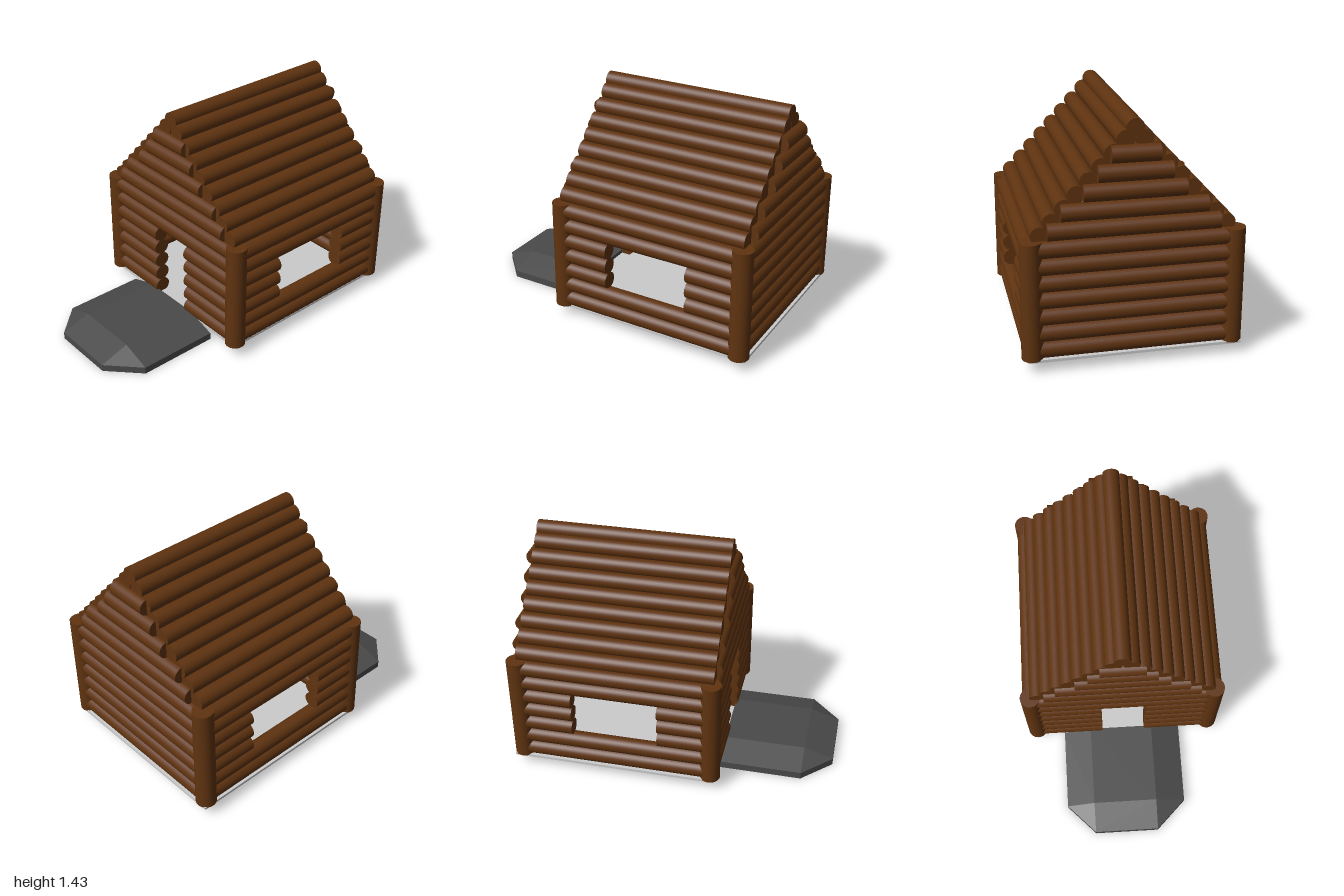
import * as THREE from 'three';

const wood = new THREE.MeshStandardMaterial({ color: 0x5f3310 });
const floorMat = new THREE.MeshStandardMaterial({ color: 0xcccccc });
const stoneMat = new THREE.MeshStandardMaterial({ color: 0x4a4a4a, side: THREE.DoubleSide, flatShading: true });

const R = 0.051, ROW = 0.1, BASE = 0.075, ROWS = 7;
const WALL_X = 0.58, FRONT_Z = 0.267, BACK_Z = -0.938;

// A log lying along 'x' or 'z' between two coordinates, or standing along 'y'
function log(name, axis, from, to, a, b, radius = R) {
  const mesh = new THREE.Mesh(new THREE.CylinderGeometry(radius, radius, to - from, 32), wood);
  const mid = (from + to) / 2;
  if (axis === 'x') { mesh.rotation.z = Math.PI / 2; mesh.position.set(mid, a, b); }
  else if (axis === 'z') { mesh.rotation.x = Math.PI / 2; mesh.position.set(b, a, mid); }
  else mesh.position.set(a, mid, b);
  mesh.name = name;
  return mesh;
}

// A stack of logs with an optional opening {from, to, first, last}
function wall(name, axis, from, to, offset, gap) {
  const group = new THREE.Group();
  group.name = name;
  for (let i = 0; i < ROWS; i++) {
    const y = BASE + ROW * (i + 0.5);
    const spans = gap && i >= gap.first && i <= gap.last
      ? [[from, gap.from], [gap.to, to]] : [[from, to]];
    for (const [s, e] of spans) group.add(log('wallLog', axis, s, e, y, offset));
  }
  return group;
}

// Two parallel slopes of roof logs below a ridge log
function roof() {
  const group = new THREE.Group();
  group.name = 'roof';
  group.add(log('ridgeLog', 'z', -0.942, 0.283, 1.383, 0));
  for (let i = 0; i < 8; i++) {
    const x = 0.053 + 0.0682 * i, y = 1.321 - 0.0738 * i;
    for (const s of [-1, 1]) group.add(log('roofLog', 'z', -0.942, 0.283, y, s * x));
  }
  return group;
}

// Shortening logs that fill the triangle under the roof
function gable(name, z) {
  const group = new THREE.Group();
  group.name = name;
  [0.49, 0.415, 0.29, 0.21, 0.137].forEach((half, i) =>
    group.add(log('gableLog', 'x', -half, half, 0.825 + 0.104 * i, z)));
  return group;
}

// Bevelled doorstep lofted from three outlines, hollow underneath
function doorstep() {
  const back = 0.3, mid = 0.815, front = 1;
  const outer = [[-0.4, back], [-0.4, mid], [-0.22, front], [0.195, front], [0.385, mid], [0.385, back]];
  const inner = [[-0.22, back], [-0.22, mid], [-0.22, mid], [0.195, mid], [0.195, mid], [0.195, back]];
  const rings = [[outer, 0], [outer, 0.045], [inner, 0.105]];
  const pos = [], index = [];
  for (const [ring, y] of rings) for (const [x, z] of ring) pos.push(x, y, z);
  for (let r = 0; r < 2; r++) {
    for (let i = 0; i < 6; i++) {
      const a = r * 6 + i, b = r * 6 + (i + 1) % 6;
      index.push(a, b, b + 6, a, b + 6, a + 6);
    }
  }
  index.push(12, 13, 16, 12, 16, 17);
  const geo = new THREE.BufferGeometry();
  geo.setAttribute('position', new THREE.Float32BufferAttribute(pos, 3));
  geo.setIndex(index);
  const flat = geo.toNonIndexed();
  flat.computeVertexNormals();
  const mesh = new THREE.Mesh(flat, stoneMat);
  mesh.name = 'doorstep';
  return mesh;
}

export function createModel() {
  const model = new THREE.Group();
  model.name = 'logCabin';

  // Floor slab
  const floor = new THREE.Mesh(new THREE.BoxGeometry(1.24, 0.016, 1.29), floorMat);
  floor.name = 'floor';
  floor.position.set(-0.01, 0.073, -0.345);
  model.add(floor);

  // Walls, with a doorway in front and a window on each side
  const door = { from: -0.137, to: 0.145, first: 0, last: 4 };
  const window = { from: -0.6, to: -0.06, first: 2, last: 4 };
  model.add(
    wall('frontWall', 'x', -WALL_X, WALL_X, FRONT_Z, door),
    wall('backWall', 'x', -WALL_X, WALL_X, BACK_Z),
    wall('leftWall', 'z', BACK_Z, FRONT_Z, WALL_X, window),
    wall('rightWall', 'z', BACK_Z, FRONT_Z, -WALL_X, window)
  );

  // Corner posts
  for (const x of [-WALL_X, WALL_X])
    for (const z of [FRONT_Z, BACK_Z])
      model.add(log('cornerPost', 'y', BASE, 0.775, x, z, 0.063));

  model.add(gable('frontGable', FRONT_Z), gable('backGable', BACK_Z), roof(), doorstep());
  return model;
}
